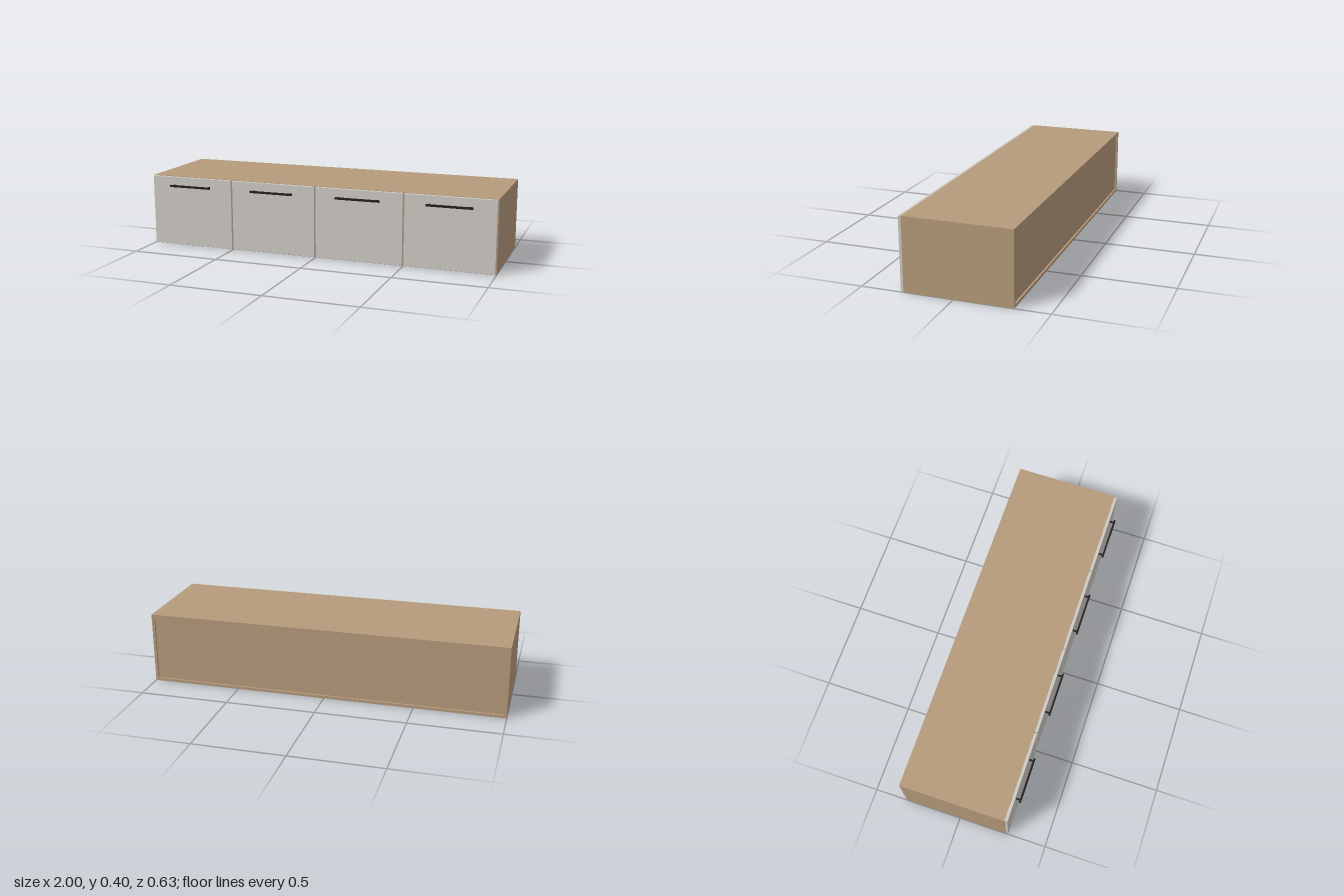
import * as THREE from 'three';
import { RoundedBoxGeometry } from 'three/addons/geometries/RoundedBoxGeometry.js';

export function createModel() {
  const model = new THREE.Group();
  const wood = new THREE.MeshStandardMaterial({ color: 0xb59b7b });
  const paint = new THREE.MeshStandardMaterial({ color: 0xcdc9c3 });
  const black = new THREE.MeshStandardMaterial({ color: 0x222020 });

  const H = 0.4, T = 0.016;            // cabinet height, board thickness
  const back = -0.315, front = 0.267;  // carcass depth range
  const depth = front - back, midZ = (front + back) / 2;

  function add(parent, name, geometry, material, x, y, z) {
    const mesh = new THREE.Mesh(geometry, material);
    mesh.name = name;
    mesh.position.set(x, y, z);
    parent.add(mesh);
  }
  const box = (w, h, d) => new THREE.BoxGeometry(w, h, d);

  // Carcass: top and bottom between the sides, back panel set slightly in
  const carcass = new THREE.Group();
  carcass.name = 'carcass';
  model.add(carcass);
  for (const s of [-1, 1]) {
    add(carcass, s > 0 ? 'leftSide' : 'rightSide', box(T, H, depth), wood, s * (1 - T / 2), H / 2, midZ);
  }
  add(carcass, 'topPanel', box(2 - 2 * T, T, depth), wood, 0, H - T / 2, midZ);
  add(carcass, 'bottomPanel', box(2 - 2 * T, T, depth), wood, 0, T / 2, midZ);
  add(carcass, 'backPanel', box(2 - 2 * T, H - 2 * T, 0.006), wood, 0, H / 2, back + 0.013);
  for (const x of [-0.5, 0, 0.5]) {
    add(carcass, 'divider', box(T, H - 2 * T, depth - 0.016), wood, x, H / 2, midZ + 0.008);
  }

  // Four fronts, each with a bar handle on two posts
  for (let i = 0; i < 4; i++) {
    const unit = new THREE.Group();
    unit.name = 'drawerFront' + (i + 1);
    unit.position.x = -0.75 + i * 0.5;
    model.add(unit);
    add(unit, 'frontPanel', new RoundedBoxGeometry(0.492, 0.396, 0.017, 2, 0.002), paint, 0, H / 2, front + 0.0085);
    add(unit, 'handleBar', box(0.25, 0.011, 0.01), black, 0, 0.35, 0.31);
    for (const s of [-1, 1]) {
      add(unit, 'handlePost', box(0.008, 0.007, 0.024), black, s * 0.11, 0.35, 0.295);
    }
  }
  return model;
}
